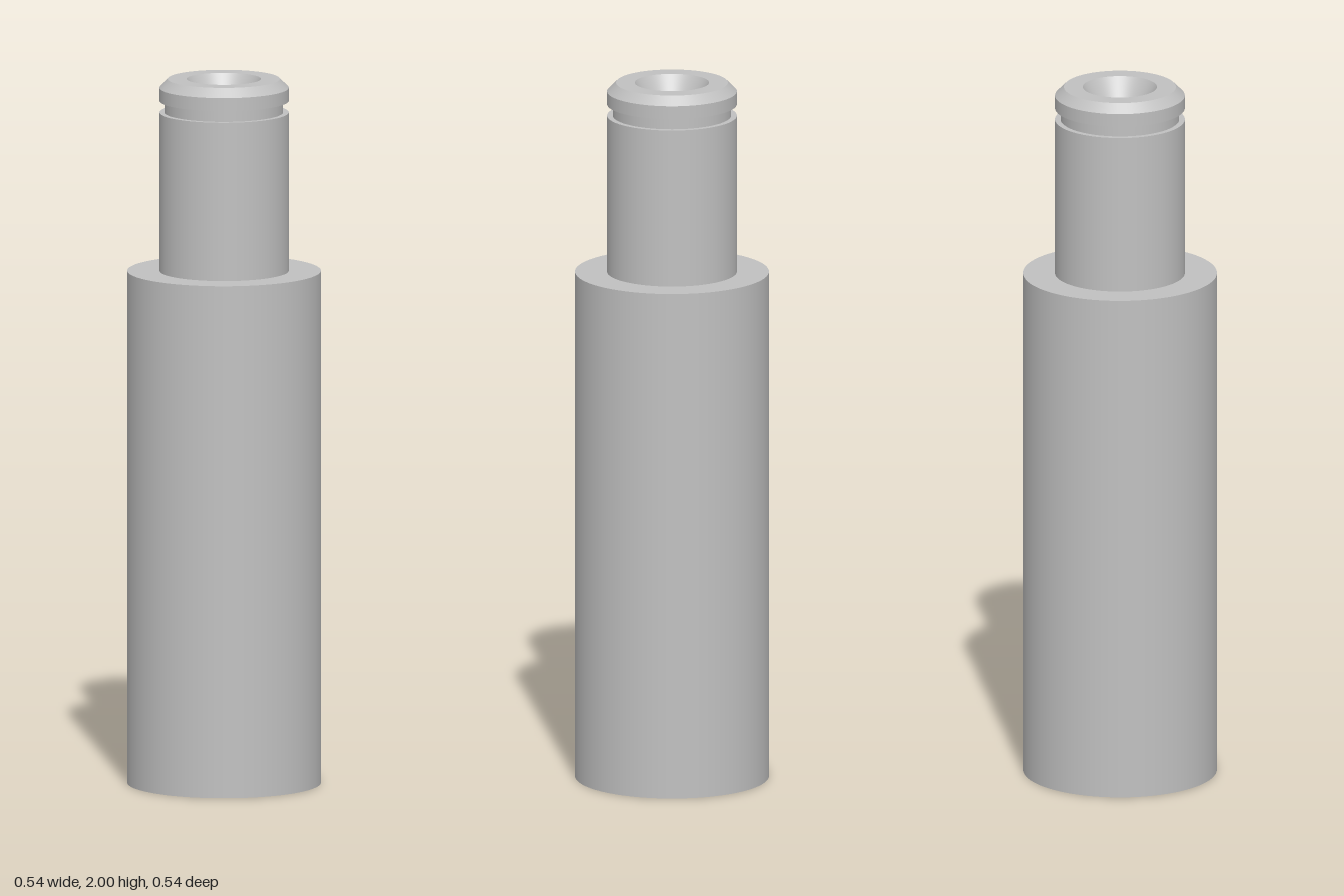
import * as THREE from 'three';
import { mergeGeometries } from 'three/addons/utils/BufferGeometryUtils.js';

const SIDES = 96;

// Turned surface: one lathe band per profile segment, so edges stay sharp and bands smooth.
function turned(profile) {
  const bands = [];
  for (let i = 0; i < profile.length - 1; i++) {
    const pair = [profile[i], profile[i + 1]].map(([r, y]) => new THREE.Vector2(r, y));
    bands.push(new THREE.LatheGeometry(pair, SIDES));
  }
  return mergeGeometries(bands);
}

export function createModel() {
  const model = new THREE.Group();
  model.name = 'steppedPin';
  const steel = new THREE.MeshStandardMaterial({ color: 0xc0c0c0 });
  steel.name = 'steel';

  const add = (name, profile) => {
    const mesh = new THREE.Mesh(turned(profile), steel);
    mesh.name = name;
    model.add(mesh);
  };

  // Wide body with flat base and shoulder
  add('body', [[0, 0], [0.272, 0], [0.272, 1.455], [0.182, 1.455]]);

  // Narrow neck up to the ring groove
  add('neck', [[0.182, 1.455], [0.182, 1.905]]);
  add('ringGroove', [[0.182, 1.905], [0.166, 1.905], [0.166, 1.938], [0.182, 1.938]]);

  // Chamfered tip with flat rim
  add('tip', [[0.182, 1.938], [0.182, 1.975], [0.157, 2], [0.104, 2]]);

  // Centre hole: countersink, pilot bore and drill point
  add('centreHole', [[0.104, 2], [0.04, 1.89], [0.04, 1.79], [0, 1.767]]);

  return model;
}
